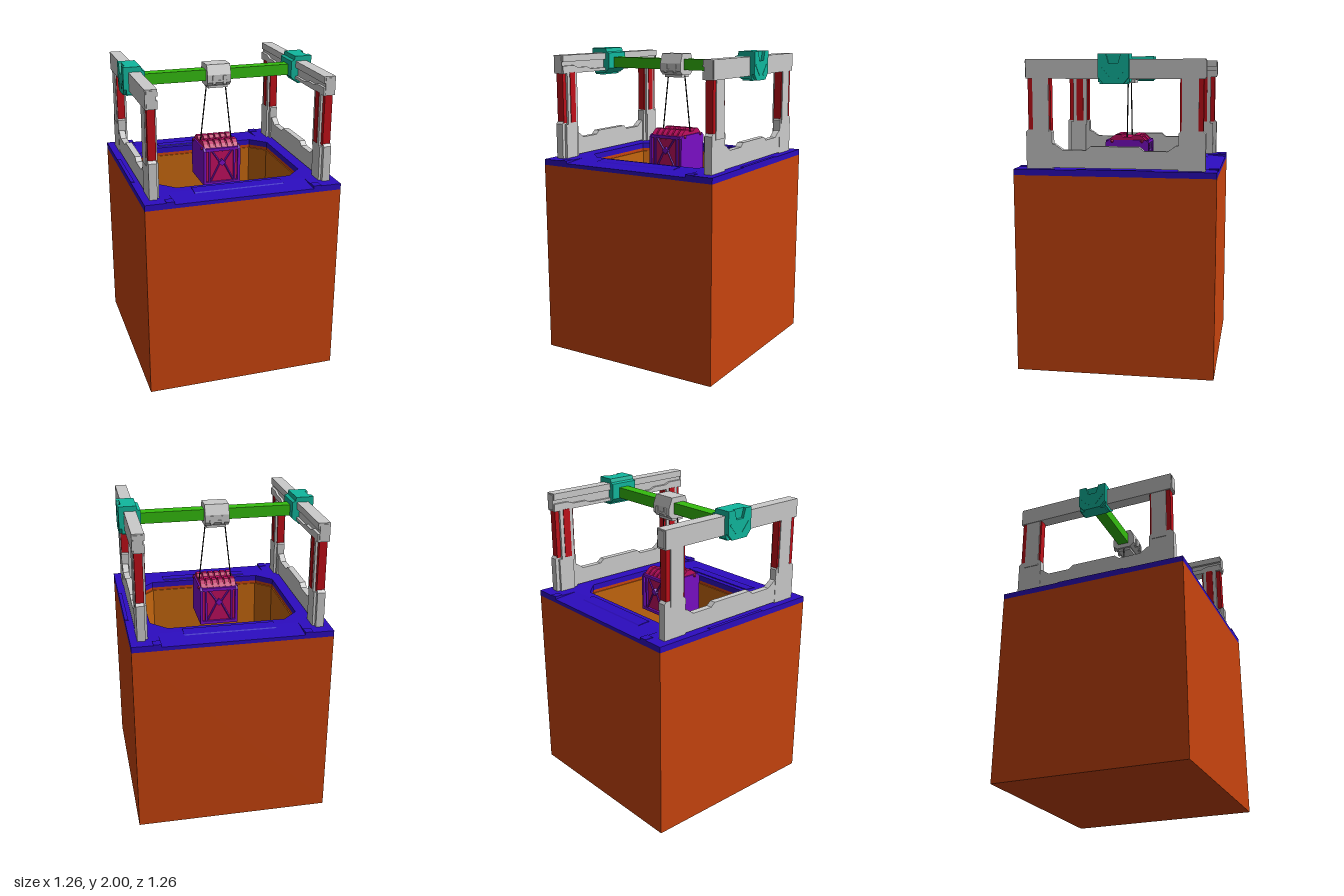
import * as THREE from 'three';

const mat = (color) => new THREE.MeshStandardMaterial({ color, flatShading: true });
const M = {
  grey: mat(0xcccccc), orange: mat(0xc8440e), shaft: mat(0xc4660e), violet: mat(0x2c0cc0),
  water: mat(0x0d80d6), green: mat(0x34bc0e), teal: mat(0x10b89e), red: mat(0xc00e18),
  magenta: mat(0xc00e60), purple: mat(0x7a0ec4), dark: mat(0x1a1a1a),
};

function add(parent, name, geo, material, x = 0, y = 0, z = 0) {
  const mesh = new THREE.Mesh(geo, material);
  mesh.name = name;
  mesh.position.set(x, y, z);
  parent.add(mesh);
  return mesh;
}

// Box given by its limits on each axis
function box(parent, name, material, [x0, x1], [y0, y1], [z0, z1]) {
  return add(parent, name, new THREE.BoxGeometry(x1 - x0, y1 - y0, z1 - z0), material,
    (x0 + x1) / 2, (y0 + y1) / 2, (z0 + z1) / 2);
}

const shapeOf = (pts) => new THREE.Shape(pts.map(([a, b]) => new THREE.Vector2(a, b)));
const extrude = (shape, depth) => new THREE.ExtrudeGeometry(shape, { depth, bevelEnabled: false });

// Half outline mirrored across the first coordinate
const mirrored = (pts) => [...pts, ...pts.map(([a, b]) => [-a, b]).reverse()];

// (z, y) profile extruded along x, centred
const alongX = (pts, w) => extrude(shapeOf(pts), w).rotateY(-Math.PI / 2).translate(w / 2, 0, 0);

// (x, y) profile extruded along z, centred
const alongZ = (pts, w) => extrude(shapeOf(pts), w).translate(0, 0, -w / 2);

// Flat plate in x and z with an optional hole, rising from y = 0
function plate(pts, hole, h) {
  const s = shapeOf(pts);
  if (hole) s.holes.push(new THREE.Path(hole.map(([a, b]) => new THREE.Vector2(a, b))));
  return extrude(s, h).rotateX(-Math.PI / 2);
}

// Thin round bar between two points
function bar(parent, name, material, a, b, r, sides = 6) {
  const from = new THREE.Vector3(...a), to = new THREE.Vector3(...b);
  const dir = to.clone().sub(from);
  const mesh = add(parent, name, new THREE.CylinderGeometry(r, r, dir.length(), sides), material);
  mesh.position.copy(from).add(to).multiplyScalar(0.5);
  mesh.quaternion.setFromUnitVectors(new THREE.Vector3(0, 1, 0), dir.normalize());
  return mesh;
}

const R = 0.628;
const square = [[-R, -R], [R, -R], [R, R], [-R, R]];
const opening = [[0.475, 0.295], [0.375, 0.395], [-0.375, 0.395], [-0.475, 0.295],
  [-0.475, -0.295], [-0.375, -0.395], [0.375, -0.395], [0.475, -0.295]];

// Deep block with an eight-sided shaft
function buildPit() {
  const g = new THREE.Group();
  g.name = 'pit';
  box(g, 'pitBottom', M.orange, [-R, R], [0, 0.04], [-R, R]);
  add(g, 'pitWalls', plate(square, opening, 1.22), M.orange, 0, 0.04, 0);
  const lining = plate(opening, opening.map(([a, b]) => [a * 0.985, b * 0.985]), 1.2);
  add(g, 'shaftLining', lining, M.shaft, 0, 0.04, 0);
  add(g, 'shaftFloor', plate(opening.map(([a, b]) => [a * 0.98, b * 0.98]), null, 0.01), M.water, 0, 0.04, 0);
  return g;
}

// Rim around the opening, with sloping aprons front and back
function buildRim() {
  const g = new THREE.Group();
  g.name = 'rim';
  add(g, 'rimBase', plate(square, opening, 0.02), M.violet, 0, 1.26, 0);
  const notched = mirrored([[R, -R], [R, R], [0.445, R], [0.445, 0.46]]);
  notched.splice(4, 0); 
  const half = [[0.445, -0.46], [0.445, -R], [R, -R], [R, R], [0.445, R], [0.445, 0.46]];
  add(g, 'rimTop', plate(mirrored(half), opening, 0.018), M.violet, 0, 1.28, 0);
  for (const s of [1, -1]) {
    const end = new THREE.Group();
    end.name = 'rimEnd';
    end.rotation.y = s > 0 ? 0 : Math.PI;
    add(end, 'apron', alongX([[0.46, 1.28], [R, 1.28], [R, 1.284], [0.46, 1.298]], 0.89), M.violet);
    add(end, 'apronRidge', alongX([[0.425, 1.29], [0.52, 1.29], [0.505, 1.298], [0.43, 1.303]], 0.58), M.violet);
    for (const x of [-0.47, 0.47])
      box(end, 'rimPad', M.violet, [x - 0.025, x + 0.025], [1.28, 1.302], [0.57, R]);
    // low strips along the side edges
    box(end, 'sideStrip', M.violet, [0.605, R], [1.28, 1.302], [-0.23, 0.23]);
    g.add(end);
  }
  return g;
}

// One side of the gantry, built on +x and facing inward to -x
function buildSideFrame() {
  const g = new THREE.Group();
  g.name = 'sideFrame';
  for (const s of [1, -1]) {
    const span = (a, b) => (s > 0 ? [a, b] : [-b, -a]);
    const foot = [[0.39, 1.298], [0.555, 1.298], [0.555, 1.525], [0.54, 1.54], [0.405, 1.54], [0.39, 1.525]];
    const pts = foot.map(([z, y]) => [z * s, y]);
    add(g, 'postFoot', alongX(s > 0 ? pts : pts.reverse(), 0.05), M.grey, 0.557);
    box(g, 'footInnerRib', M.grey, [0.516, 0.535], [1.298, 1.52], span(0.42, 0.53));
    box(g, 'post', M.grey, [0.516, 0.586], [1.5, 1.87], span(0.41, 0.51));
    box(g, 'postSleeve', M.red, [0.53, 0.58], [1.53, 1.855], span(0.398, 0.54));
    box(g, 'postRail', M.red, [0.512, 0.52], [1.53, 1.855], span(0.435, 0.485));
  }
  // lower wall between the feet
  add(g, 'lowerWall', alongX(mirrored([[0.39, 1.305], [0.39, 1.452], [0.375, 1.45], [0.325, 1.415],
    [0.18, 1.415], [0.15, 1.44]]), 0.04), M.grey, 0.56);
  // top rail with a groove in its inner side
  box(g, 'topRail', M.grey, [0.532, 0.59], [1.85, 1.968], [-0.55, 0.55]);
  box(g, 'railUpperLip', M.grey, [0.515, 0.535], [1.925, 1.968], [-0.55, 0.55]);
  add(g, 'railLowerLip', alongX(mirrored([[0.55, 1.85], [0.55, 1.90], [0.44, 1.90], [0.40, 1.885],
    [0.30, 1.885], [0.26, 1.87]]), 0.02), M.grey, 0.525);
  for (const z of [-0.552, 0.552]) box(g, 'railEndCap', M.grey, [0.525, 0.582], [1.86, 1.96], [z - 0.003, z + 0.003]);
  buildCarriage(g);
  return g;
}

// Carriage that clasps the top rail
function buildCarriage(parent) {
  const g = new THREE.Group();
  g.name = 'carriage';
  add(g, 'carriageBody', alongZ([[0.605, 1.83], [0.605, 2], [0.51, 2], [0.505, 1.975], [0.485, 1.968],
    [0.485, 1.865], [0.50, 1.85], [0.53, 1.83]].reverse(), 0.19), M.teal);
  // outer plate with a wedge cut out of its top
  const outer = mirrored([[0.095, 1.86], [0.095, 2], [0.045, 2], [0.028, 1.94]]);
  add(g, 'carriagePlate', alongX([[-0.06, 1.82], [0.06, 1.82], ...outer], 0.02), M.teal, 0.613);
  box(g, 'carriageSkirt', M.teal, [0.535, 0.605], [1.82, 1.84], [-0.085, 0.085]);
  for (const s of [1, -1])
    add(g, 'carriageBrace', new THREE.BoxGeometry(0.006, 0.085, 0.012), M.teal, 0.622, 1.885, s * 0.05)
      .rotation.x = s * 0.7;
  parent.add(g);
}

// Cross beam, trolley and hoist cables
function buildHoist() {
  const g = new THREE.Group();
  g.name = 'hoist';
  box(g, 'crossBeam', M.green, [-0.5, 0.5], [1.867, 1.938], [-0.04, 0.037]);
  add(g, 'trolley', alongX(mirrored([[0.05, 1.835], [0.08, 1.86], [0.08, 1.91], [0.055, 1.973]]), 0.156), M.grey);
  box(g, 'trolleyBase', M.grey, [-0.064, 0.064], [1.818, 1.84], [-0.045, 0.045]);
  for (const s of [1, -1]) {
    for (const x of [-0.035, 0.035])
      box(g, 'trolleyClamp', M.grey, [x - 0.01, x + 0.01], [1.85, 1.905], s > 0 ? [0.07, 0.088] : [-0.088, -0.07]);
    box(g, 'trolleyBar', M.grey, [-0.05, 0.05], [1.865, 1.875], s > 0 ? [0.07, 0.085] : [-0.085, -0.07]);
    bar(g, 'cable', M.dark, [s * 0.064, 1.83, 0], [s * 0.107, 1.45, 0], 0.004);
  }
  return g;
}

// Hanging grab: purple cage, magenta panels and curved ribs over the top
function buildGrab() {
  const g = new THREE.Group();
  g.name = 'grab';
  box(g, 'grabCore', M.magenta, [-0.112, 0.112], [1.2, 1.43], [-0.128, 0.128]);
  for (const x of [-0.116, 0.116])
    add(g, 'grabSide', alongX(mirrored([[0.145, 1.19], [0.145, 1.425], [0.125, 1.442]]), 0.018), M.purple, x);
  for (const s of [1, -1]) {
    const z = s * 0.136;
    for (const y of [1.2, 1.43])
      box(g, 'grabCrossbar', M.purple, [-0.11, 0.11], [y - 0.01, y + 0.01], [z - 0.008, z + 0.008]);
    for (const x of [-1, 1]) {
      bar(g, 'grabUpperStrut', M.purple, [x * 0.07, 1.425, z], [x * 0.015, 1.345, z], 0.006, 4);
      bar(g, 'grabLowerStrut', M.purple, [x * 0.085, 1.2, z], [x * 0.015, 1.335, z], 0.006, 4);
      box(g, 'grabUpright', M.purple, [x * 0.085 - 0.006, x * 0.085 + 0.006], [1.2, 1.43], [z - 0.006, z + 0.006]);
      add(g, 'grabPin', new THREE.SphereGeometry(0.011, 8, 6), M.magenta, x * 0.125, 1.435, s * 0.1);
    }
    add(g, 'grabBoss', new THREE.CylinderGeometry(0.024, 0.024, 0.022, 4), M.purple, 0, 1.34, z).rotation.x = Math.PI / 2;
  }
  const ribProfile = mirrored([[0.13, 1.41], [0.13, 1.435], [0.105, 1.46], [0.08, 1.477], [0.045, 1.477], [0.025, 1.46]]);
  for (let i = 0; i < 6; i++)
    add(g, 'grabRib', alongX(ribProfile, 0.03), M.magenta, -0.1 + i * 0.04);
  add(g, 'grabTop', alongX(mirrored([[0.122, 1.41], [0.122, 1.435], [0.1, 1.452], [0.07, 1.466], [0.03, 1.452]]), 0.23), M.magenta);
  return g;
}

export function createModel() {
  const model = new THREE.Group();
  model.name = 'gantryCraneOverPit';
  model.add(buildPit(), buildRim(), buildHoist(), buildGrab());
  for (const turn of [0, Math.PI]) {
    const side = buildSideFrame();
    side.rotation.y = turn;
    model.add(side);
  }
  return model;
}
